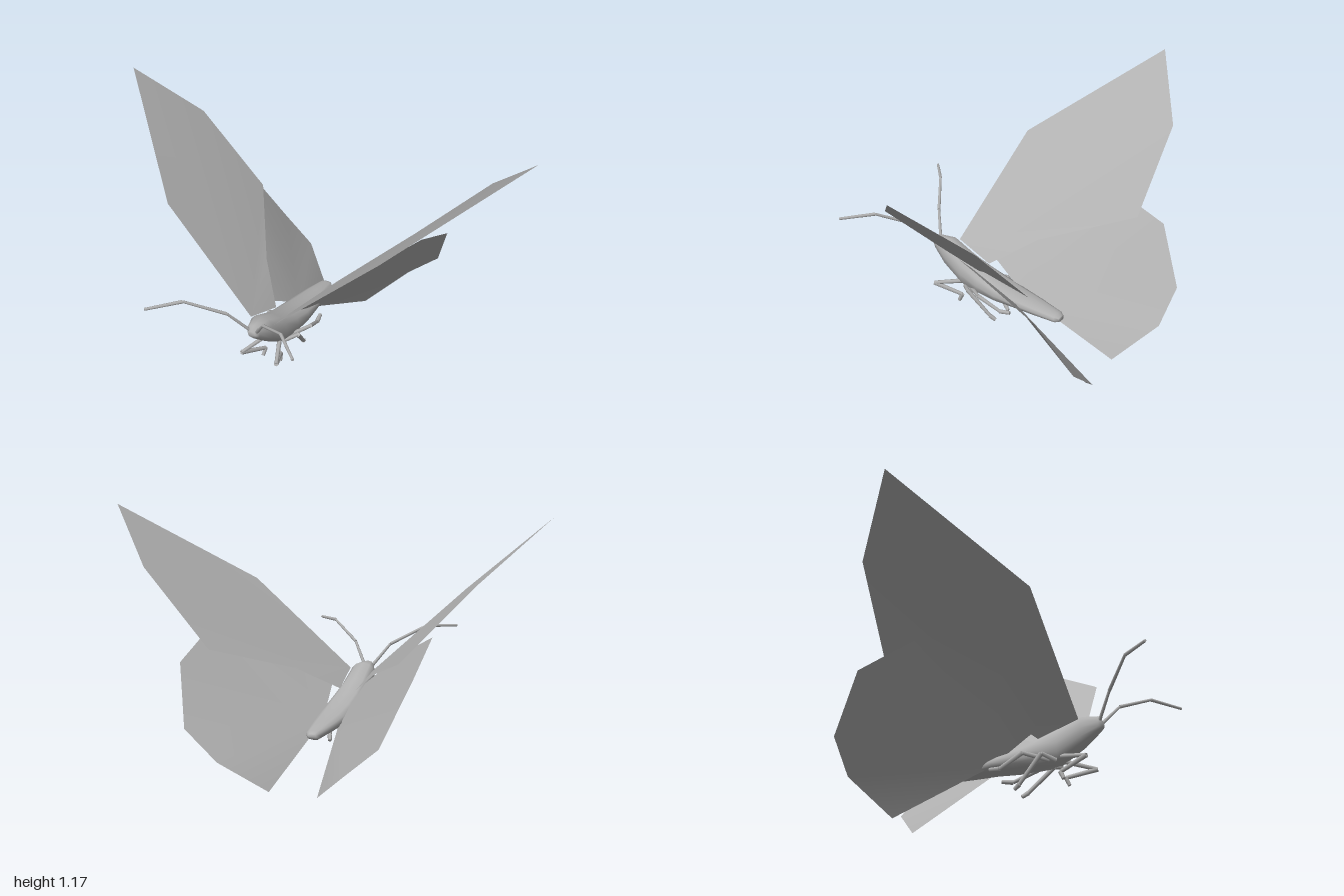
import * as THREE from 'three';

const grey = new THREE.MeshStandardMaterial({ color: 0xb0b0b0, side: THREE.DoubleSide });
grey.name = 'grey';

function surface(points, index, name) {
  const g = new THREE.BufferGeometry();
  g.setAttribute('position', new THREE.Float32BufferAttribute(points.flat(), 3));
  g.setIndex(index);
  g.computeVertexNormals();
  const m = new THREE.Mesh(g, grey);
  m.name = name;
  return m;
}

// Thin sheet: a fan of triangles around the first outline point
function wing(outline, s, name) {
  const index = [];
  for (let i = 1; i < outline.length - 1; i++) index.push(0, ...(s > 0 ? [i + 1, i] : [i, i + 1]));
  return surface(outline.map(([x, y, z]) => [x * s, y, z]), index, name);
}

// Jointed limb: tapered six-sided segments along a path
function limb(path, s, radius, name) {
  const group = new THREE.Group();
  group.name = name;
  const pts = path.map(([x, y, z]) => new THREE.Vector3(x * s, y, z));
  for (let i = 0; i < pts.length - 1; i++) {
    const d = pts[i + 1].clone().sub(pts[i]);
    const m = new THREE.Mesh(new THREE.CylinderGeometry(radius * 0.8, radius, d.length(), 6), grey);
    m.name = name + 'Segment';
    m.position.copy(pts[i]).addScaledVector(d, 0.5);
    m.quaternion.setFromUnitVectors(new THREE.Vector3(0, 1, 0), d.normalize());
    group.add(m);
  }
  return group;
}

// Body: loops of z, top, bottom, half width, running from head to tail
function body() {
  const sections = [
    [0.395, 0.375, 0.345, 0.02], [0.38, 0.398, 0.33, 0.032], [0.305, 0.402, 0.268, 0.06],
    [0.2, 0.35, 0.2, 0.068], [0.1, 0.308, 0.19, 0.074], [0, 0.278, 0.186, 0.074],
    [-0.1, 0.255, 0.19, 0.066], [-0.2, 0.24, 0.185, 0.053],
    [-0.31, 0.222, 0.18, 0.034], [-0.33, 0.212, 0.188, 0.02],
  ];
  const n = 12, pts = [], index = [];
  const round = (v) => Math.sign(v) * Math.abs(v) ** 0.8;
  for (const [z, top, bottom, w] of sections) {
    for (let i = 0; i < n; i++) {
      const a = (i / n) * Math.PI * 2;
      pts.push([w * round(Math.cos(a)), (top + bottom) / 2 + round(Math.sin(a)) * (top - bottom) / 2, z]);
    }
  }
  for (let r = 0; r < sections.length - 1; r++) {
    for (let i = 0; i < n; i++) {
      const a = r * n + i, b = r * n + (i + 1) % n;
      index.push(a, a + n, b, b, a + n, b + n);
    }
  }
  const last = (sections.length - 1) * n;
  for (let i = 1; i < n - 1; i++) index.push(0, i, i + 1, last, last + i + 1, last + i);
  return surface(pts, index, 'body');
}

const foreWing = [
  [0.06, 0.375, 0.3], [0.52, 0.795, 0.235], [1, 1.17, -0.225], [0.75, 0.915, -0.43],
  [0.43, 0.575, -0.45], [0.19, 0.435, -0.065], [0.04, 0.315, 0.11],
];
const hindWing = [
  [0.04, 0.215, -0.1], [0.08, 0.345, 0.12], [0.285, 0.52, 0.03], [0.51, 0.655, -0.24],
  [0.52, 0.53, -0.54], [0.43, 0.28, -0.68], [0.28, 0.15, -0.68], [0.11, 0, -0.54],
];
const antenna = [[0.02, 0.375, 0.385], [0.09, 0.475, 0.45], [0.24, 0.557, 0.56], [0.36, 0.547, 0.675]];
const legs = {
  frontLeg: [[0.03, 0.225, 0.2], [0.09, 0.192, 0.34], [0.04, 0.15, 0.21], [0.045, 0.115, 0.225]],
  middleLeg: [[0.04, 0.205, 0.19], [0.09, 0.225, 0.14], [0.06, 0.108, 0.03], [0.05, 0.09, 0.005]],
  hindLeg: [[0.04, 0.21, 0.16], [0.11, 0.23, 0.06], [0.09, 0.178, -0.05], [0.08, 0.183, -0.1]],
};

export function createModel() {
  const model = new THREE.Group();
  model.name = 'butterfly';
  model.add(body());
  // Paired parts on both sides
  for (const [s, side] of [[1, 'left'], [-1, 'right']]) {
    model.add(wing(foreWing, s, side + 'ForeWing'));
    model.add(wing(hindWing, s, side + 'HindWing'));
    model.add(limb(antenna, s, 0.008, side + 'Antenna'));
    for (const [name, path] of Object.entries(legs)) model.add(limb(path, s, 0.011, side + '_' + name));
  }
  return model;
}
